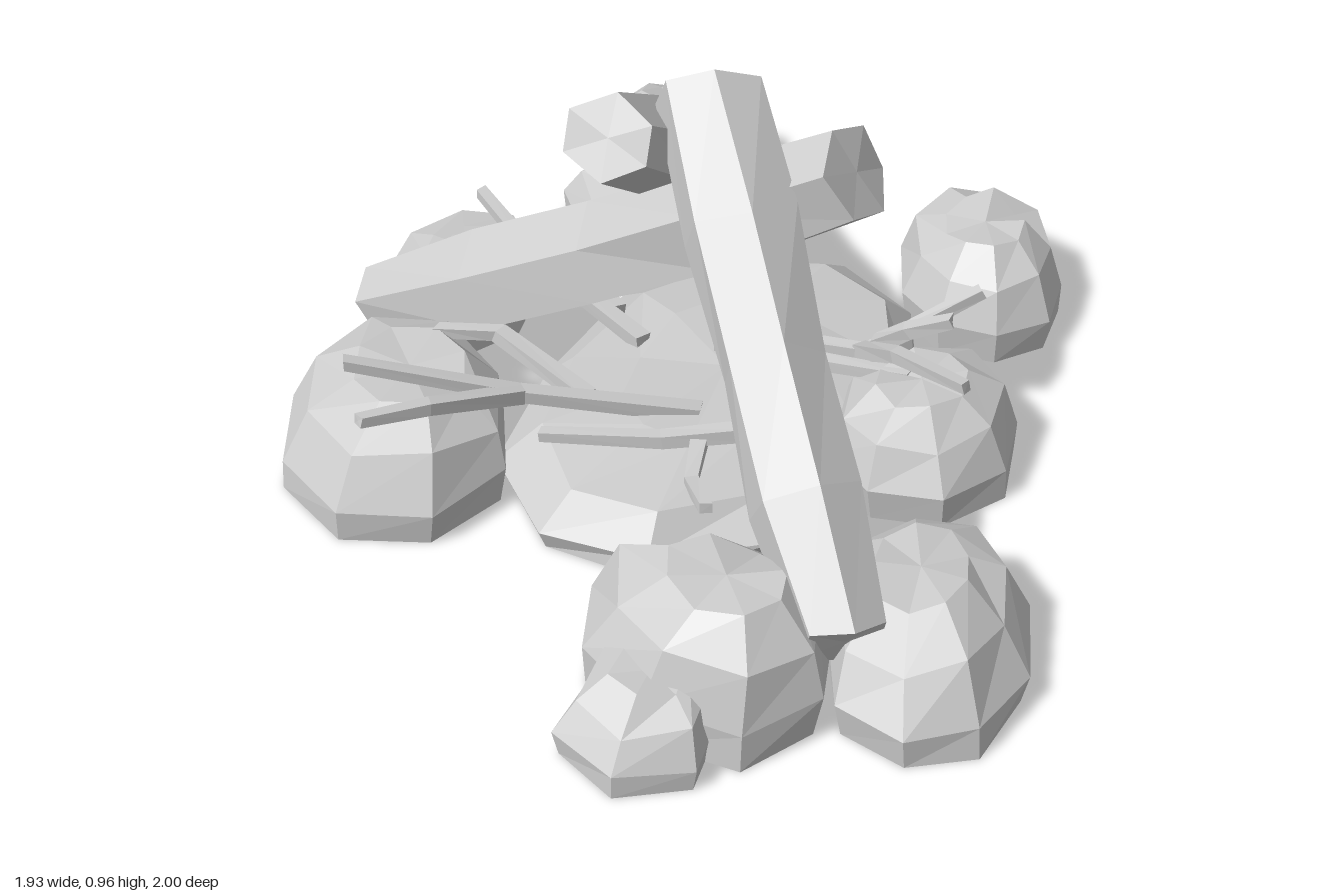
import * as THREE from 'three';

// Small seeded generator, -1 to 1, for chipped, irregular surfaces
function seeded(seed) {
  let s = seed * 7919 + 17;
  return () => ((s = (s * 16807) % 2147483647) / 2147483647) * 2 - 1;
}

// Skin over rings of equal length, counter-clockwise seen from the last ring, with both ends closed
function loft(rings) {
  const pos = [];
  const tri = (...pts) => pts.forEach((p) => pos.push(p.x, p.y, p.z));
  const n = rings[0].length;
  const centre = (r) => r.reduce((s, p) => s.add(p), new THREE.Vector3()).divideScalar(n);
  const first = rings[0], last = rings[rings.length - 1];
  const c0 = centre(first), c1 = centre(last);
  for (let j = 0; j < n; j++) {
    const k = (j + 1) % n;
    for (let i = 0; i < rings.length - 1; i++) {
      const a = rings[i], b = rings[i + 1];
      tri(a[j], a[k], b[k]);
      tri(a[j], b[k], b[j]);
    }
    tri(c0, first[k], first[j]);
    tri(c1, last[j], last[k]);
  }
  const g = new THREE.BufferGeometry();
  g.setAttribute('position', new THREE.Float32BufferAttribute(pos, 3));
  g.computeVertexNormals();
  return g;
}

// Boulder: chipped oval rings that close in towards a top shifted by leanX, leanZ
function rockGeometry(x, z, rx, rz, turn, height, sides, leanX, leanZ, seed) {
  const rnd = seeded(seed);
  const uneven = Array.from({ length: sides }, () => 1 + 0.06 * rnd());
  const profile = [[0.97, 0], [1, 0.32], [0.83, 0.74], [0.48, 0.97]];
  return loft(profile.map(([scale, level]) => uneven.map((f, j) => {
    const a = (j / sides) * Math.PI * 2;
    const s = scale * f * (1 + 0.035 * rnd());
    const y = Math.min(height, height * level * (1 + 0.12 * rnd()));
    return new THREE.Vector3(Math.cos(a) * rx * s, y, -Math.sin(a) * rz * s)
      .applyAxisAngle(new THREE.Vector3(0, 1, 0), -turn)
      .add(new THREE.Vector3(x + leanX * level ** 2, 0, z + leanZ * level ** 2));
  })));
}

// Log or twig: polygonal bar through points, with a radius at every point; wide and deep scale its section
function barGeometry(pts, radii, sides, rough, seed, wide = 1, deep = 1) {
  const rnd = seeded(seed);
  const uneven = Array.from({ length: sides }, () => 1 + rough * rnd());
  return loft(pts.map((p, i) => {
    const dir = pts[Math.min(i + 1, pts.length - 1)].clone().sub(pts[Math.max(i - 1, 0)]).normalize();
    const u = new THREE.Vector3(0, 1, 0).cross(dir).normalize();
    const v = dir.clone().cross(u);
    return uneven.map((f, j) => {
      const a = ((j + 0.5) / sides) * Math.PI * 2;
      const r = radii[i] * f * (1 + rough * rnd());
      return p.clone().addScaledVector(u, Math.cos(a) * r * wide)
        .addScaledVector(v, Math.sin(a) * r * deep).addScaledVector(dir, rough * 0.12 * rnd());
    });
  }));
}

export function createModel() {
  const model = new THREE.Group();
  const grey = new THREE.MeshStandardMaterial({ color: 0xcccccc, flatShading: true });
  grey.name = 'stoneGrey';
  const add = (name, geometry) => {
    const mesh = new THREE.Mesh(geometry, grey);
    mesh.name = name;
    model.add(mesh);
  };

  // Ring of stones and the low bed: x, z, half length, half width, turn, height, sides, lean
  const rocks = {
    backLeftRock: [-0.66, -0.75, 0.27, 0.2, 0.87, 0.26, 9, 0, 0],
    backLeftSmallRock: [-0.63, -0.53, 0.21, 0.14, 0.25, 0.16, 7, 0, -0.03],
    backRightRock: [0.21, -0.77, 0.25, 0.2, 0.9, 0.25, 9, 0, 0],
    rightRock: [0.41, -0.19, 0.21, 0.24, 0, 0.23, 8, -0.02, 0],
    frontRightOuterRock: [0.75, 0.35, 0.28, 0.21, 1.2, 0.24, 9, -0.05, -0.03],
    frontRightRock: [0.4, 0.63, 0.27, 0.22, 0, 0.3, 8, 0.05, -0.01],
    frontRightSmallRock: [0.4, 0.84, 0.16, 0.16, 0.26, 0.17, 6, 0, -0.04],
    frontLeftRock: [-0.54, 0.47, 0.3, 0.26, 0.6, 0.25, 8, 0.02, -0.05],
    leftRock: [-0.79, -0.05, 0.18, 0.23, 0, 0.2, 8, 0.02, 0],
    ashMound: [-0.04, -0.08, 0.41, 0.58, 0, 0.15, 11, 0, 0],
  };
  Object.entries(rocks).forEach(([name, r], i) => add(name, rockGeometry(...r, i + 3)));

  // Three leaning logs: foot, top, sag, width and depth of section
  const logs = {
    backLog: [[-0.38, 0.14, -0.67], [-0.15, 0.83, 0.18], -0.02, 1, 0.82],
    leftLog: [[-0.84, 0.13, 0.15], [0.27, 0.76, -0.1], 0.02, 1.15, 1],
    frontLog: [[0.67, 0.19, 0.55], [-0.06, 0.87, -0.03], 0.025, 1.02, 1.2],
  };
  const logRadii = [0.088, 0.112, 0.113, 0.118, 0.105];
  Object.entries(logs).forEach(([name, [foot, top, sag, wide, deep]], i) => {
    const a = new THREE.Vector3(...foot), b = new THREE.Vector3(...top);
    const pts = logRadii.map((_, k) => {
      const p = a.clone().lerp(b, k / 4);
      p.y -= sag * Math.sin((k / 4) * Math.PI);
      return p;
    });
    add(name, barGeometry(pts, logRadii, 6, 0.11, i + 21, wide, deep));
  });

  // Forked kindling: root, knee, tip
  const twigs = [
    [[-0.15, 0.13, -0.18], [0.21, 0.18, -0.25], [0.39, 0.31, -0.43]],
    [[0.2, 0.18, -0.25], [0.33, 0.27, -0.18], [0.5, 0.25, -0.19]],
    [[0.23, 0.2, -0.27], [0.3, 0.26, -0.28], [0.38, 0.29, -0.33]],
    [[-0.1, 0.16, -0.12], [0.12, 0.16, -0.18], [0.36, 0.21, -0.2]],
    [[-0.25, 0.13, -0.05], [-0.58, 0.2, -0.09], [-0.83, 0.24, -0.19]],
    [[-0.4, 0.16, -0.09], [-0.6, 0.2, -0.06], [-0.78, 0.21, -0.02]],
    [[-0.35, 0.15, -0.09], [-0.47, 0.18, -0.13], [-0.55, 0.24, -0.2]],
    [[0, 0.13, 0.08], [-0.3, 0.2, 0.32], [-0.58, 0.31, 0.56]],
    [[-0.3, 0.2, 0.32], [-0.38, 0.26, 0.52], [-0.46, 0.27, 0.65]],
    [[-0.2, 0.17, 0.22], [-0.44, 0.24, 0.22], [-0.56, 0.24, 0.29]],
    [[0.16, 0.18, 0.12], [0, 0.15, 0.22], [-0.24, 0.13, 0.34]],
    [[0.07, 0.15, 0.18], [0.12, 0.13, 0.28], [0.2, 0.14, 0.34]],
  ];
  twigs.forEach((path, i) => {
    const pts = path.map((p) => new THREE.Vector3(...p));
    add('twig' + (i + 1), barGeometry(pts, [0.026, 0.022, 0.018], 4, 0.06, i + 40));
  });

  return model;
}
